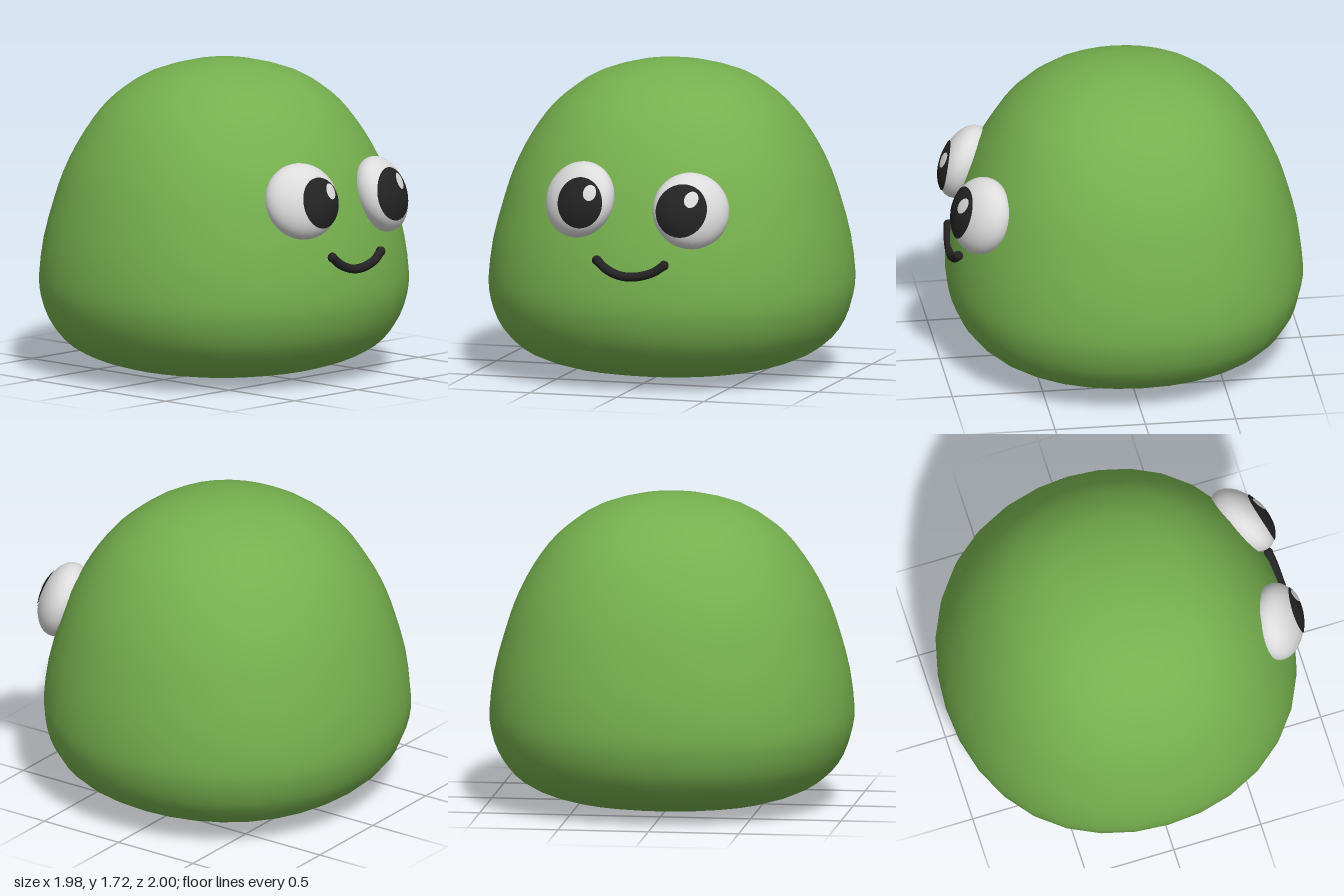
import * as THREE from 'three';
import { mergeVertices } from 'three/addons/utils/BufferGeometryUtils.js';

const material = (name, color) => {
  const m = new THREE.MeshStandardMaterial({ color });
  m.name = name;
  return m;
};

const EYE_RADIUS = 0.213;
const EYE_DEPTH = 0.13;

export function createModel() {
  const green = material('leaf green', 0x76b04e);
  const white = material('eye white', 0xdcdcdc);
  const black = material('soft black', 0x232323);

  const model = new THREE.Group();
  model.name = 'blobCreature';
  const add = (parent, name, geometry, mat) => {
    const mesh = new THREE.Mesh(geometry, mat);
    mesh.name = name;
    parent.add(mesh);
    return mesh;
  };

  // Body: a smooth dome turned from a profile, then made very slightly square
  const profile = new THREE.SplineCurve([
    [0, 0], [0.2, 0.006], [0.4, 0.02], [0.6, 0.05], [0.77, 0.11], [0.88, 0.19],
    [0.95, 0.29], [0.99, 0.41], [1, 0.53], [0.975, 0.74], [0.92, 0.95],
    [0.87, 1.1], [0.805, 1.24], [0.725, 1.37], [0.64, 1.475], [0.54, 1.56],
    [0.41, 1.64], [0.2, 1.703], [0, 1.72],
  ].map(([r, y]) => new THREE.Vector2(r, y))).getPoints(36);
  profile[0].x = profile[profile.length - 1].x = 0;
  let body = new THREE.LatheGeometry(profile, 32);
  const p = body.attributes.position;
  for (let i = 0; i < p.count; i++) {
    const x = p.getX(i), z = p.getZ(i);
    const square = 1 + 0.025 * Math.sin(2 * Math.atan2(z, x)) ** 2;
    p.setXYZ(i, -0.02 + x * 0.98 * square, p.getY(i), z * square);
  }
  body.deleteAttribute('uv');
  body.deleteAttribute('normal');
  body = mergeVertices(body, 1e-4);
  body.computeVertexNormals();
  add(model, 'body', body, green);

  // A thin disc facing +x, laid over the curved surface of a tilted eye
  function eyeDisc(center, normal, y, z, width, height, lift) {
    const g = new THREE.RingGeometry(0.001, 1, 32, 6);
    const pos = g.attributes.position;
    const k = 1 / EYE_DEPTH ** 2 - 1 / EYE_RADIUS ** 2;
    for (let i = 0; i < pos.count; i++) {
      const dy = y + pos.getY(i) * height - center.y;
      const dz = z - pos.getX(i) * width - center.z;
      const s = normal.y * dy + normal.z * dz;
      const a = 1 / EYE_RADIUS ** 2 + k * normal.x ** 2;
      const b = 2 * k * normal.x * s;
      const c = (dy * dy + dz * dz) / EYE_RADIUS ** 2 + k * s * s - 1;
      const x = (-b + Math.sqrt(Math.max(0, b * b - 4 * a * c))) / (2 * a);
      pos.setXYZ(i, center.x + x + lift, center.y + dy, center.z + dz);
    }
    g.computeVertexNormals();
    return g;
  }

  // Eyes: flattened balls following the dome, with pupil and glint
  const eyes = [
    { name: 'frontEye', center: [0.825, 1.06, 0.265], normal: [0.87, 0.35, 0.33],
      pupil: [1.06, 0.23, 0.13, 0.138], glint: [1.12, 0.17] },
    { name: 'backEye', center: [0.82, 1.025, -0.37], normal: [0.84, 0.33, -0.42],
      pupil: [1.04, -0.348, 0.14, 0.143], glint: [1.105, -0.405] },
  ];
  for (const { name, center, normal, pupil, glint } of eyes) {
    const eye = new THREE.Group();
    eye.name = name;
    model.add(eye);
    const c = new THREE.Vector3(...center);
    const n = new THREE.Vector3(...normal).normalize();
    const ball = add(eye, 'eyeball', new THREE.SphereGeometry(1, 32, 24), white);
    ball.scale.set(EYE_RADIUS, EYE_RADIUS, EYE_DEPTH);
    ball.position.copy(c);
    ball.quaternion.setFromUnitVectors(new THREE.Vector3(0, 0, 1), n);
    add(eye, 'pupil', eyeDisc(c, n, ...pupil, 0.005), black);
    add(eye, 'glint', eyeDisc(c, n, ...glint, 0.036, 0.042, 0.009), white);
  }

  // Smile: a curved tube with rounded ends
  const smile = new THREE.Group();
  smile.name = 'smile';
  model.add(smile);
  const path = [
    [0.935, 0.745, 0.135], [0.943, 0.7, 0.08], [0.948, 0.67, 0.01],
    [0.95, 0.662, -0.06], [0.948, 0.672, -0.13], [0.943, 0.695, -0.195],
    [0.932, 0.733, -0.25],
  ].map((v) => new THREE.Vector3(...v));
  add(smile, 'mouthLine',
    new THREE.TubeGeometry(new THREE.CatmullRomCurve3(path), 32, 0.025, 10), black);
  for (const end of [path[0], path[path.length - 1]]) {
    add(smile, 'mouthCorner', new THREE.SphereGeometry(0.027, 12, 10), black)
      .position.copy(end);
  }

  return model;
}
